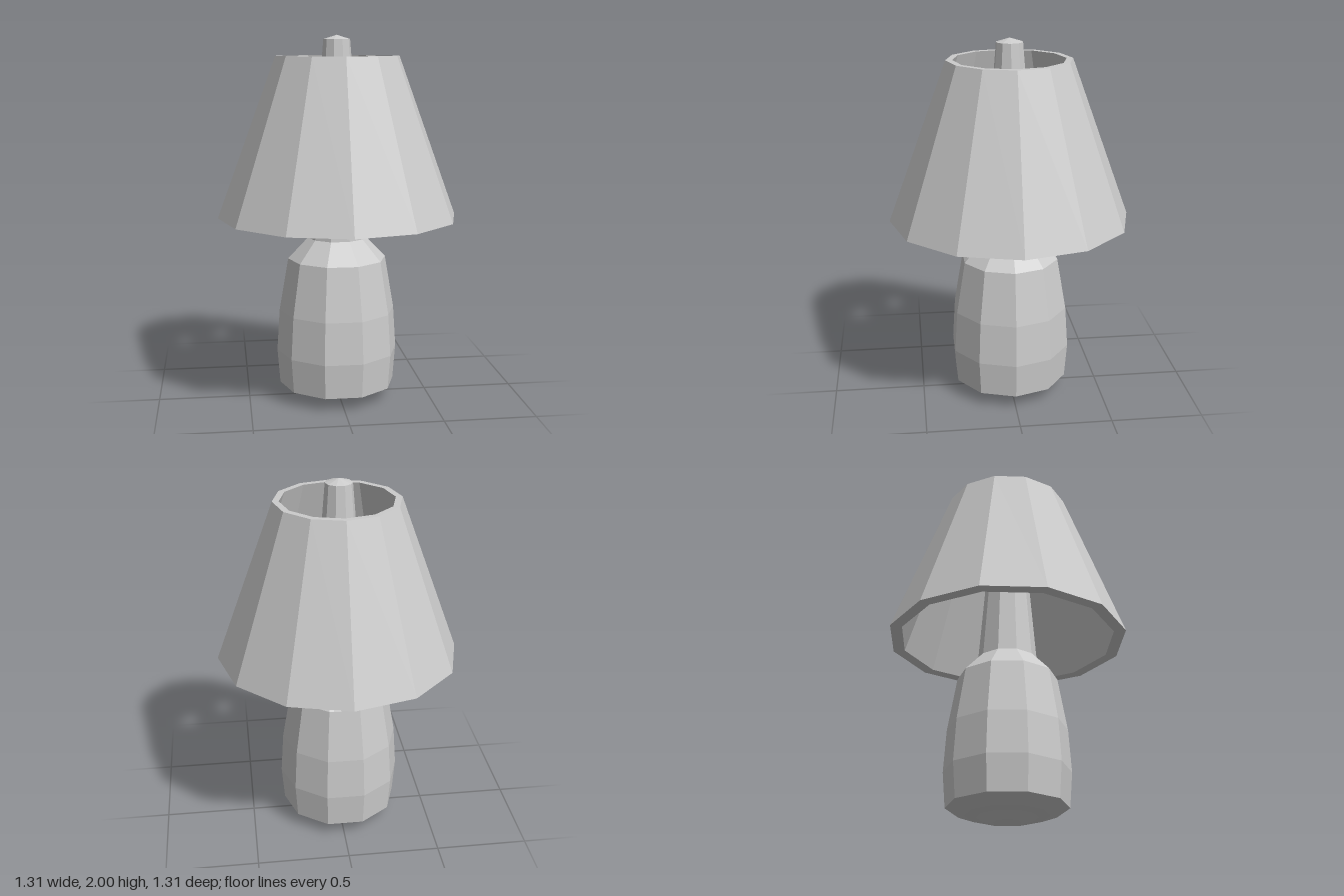
import * as THREE from 'three';

const material = new THREE.MeshStandardMaterial({ color: 0xcccccc, flatShading: true });

// Faceted turned part from [radius, height] pairs, with a corner on +x
function turned(name, profile, sides) {
  const points = profile.map(([r, y]) => new THREE.Vector2(r, y));
  const mesh = new THREE.Mesh(new THREE.LatheGeometry(points, sides, Math.PI / 2), material);
  mesh.name = name;
  return mesh;
}

export function createModel() {
  const lamp = new THREE.Group();
  lamp.name = 'tableLamp';

  // Ten-sided vase base with a stepped, rounded underside
  const base = turned('base', [
    [0, 0.005], [0.07, 0.005], [0.11, 0.017], [0.16, 0.033], [0.22, 0.042],
    [0.32, 0.08], [0.335, 0.27], [0.32, 0.5], [0.27, 0.79], [0.16, 0.905],
  ], 10);

  // Tapered stem running up through the shade, with a low pointed cap
  const stem = turned('stem', [[0.16, 0.905], [0.072, 1.978], [0, 2]], 10);
  base.position.x = stem.position.x = -0.006;

  // Twelve-sided open shade with wall thickness: outside, top rim, inside, bottom rim
  const shade = turned('shade', [
    [0.655, 1.023], [0.335, 1.89], [0.3, 1.89], [0.59, 1.023], [0.655, 1.023],
  ], 12);

  lamp.add(base, stem, shade);
  return lamp;
}
